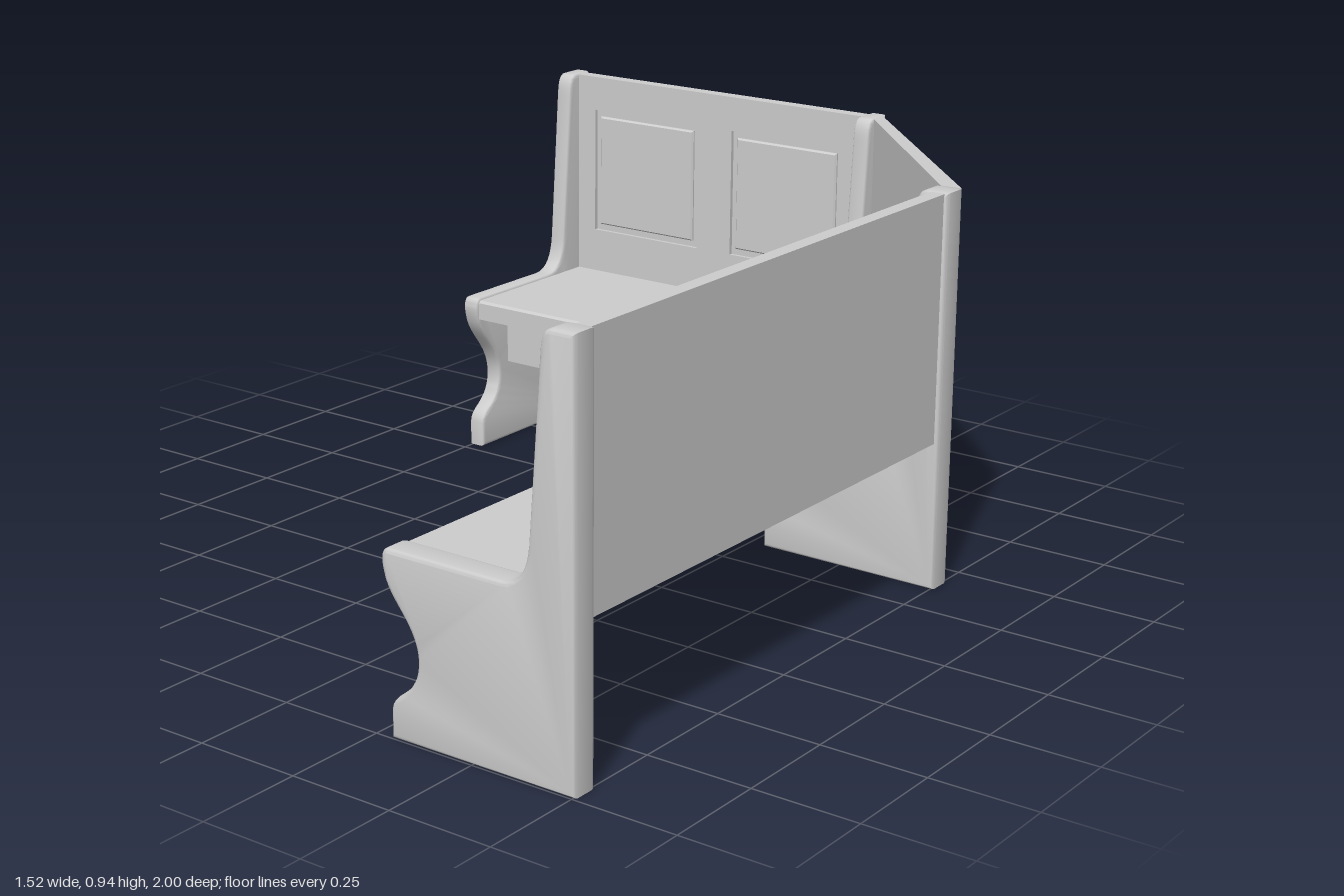
import * as THREE from 'three';
import { toCreasedNormals } from 'three/addons/utils/BufferGeometryUtils.js';

const grey = new THREE.MeshStandardMaterial({ color: 0xcccccc });
grey.name = 'light grey';

const HALF = 0.4875, END = 0.046, TOP = 0.938, SEAT = 0.405, UNDER = 0.355;

function add(group, name, geometry) {
  const mesh = new THREE.Mesh(geometry, grey);
  mesh.name = name;
  group.add(mesh);
  return mesh;
}

// box given by its limits
function box(x0, x1, y0, y1, z0, z1) {
  return new THREE.BoxGeometry(x1 - x0, y1 - y0, z1 - z0)
    .translate((x0 + x1) / 2, (y0 + y1) / 2, (z0 + z1) / 2);
}

function rect(path, cx, cy, w, h) {
  path.moveTo(cx - w, cy - h);
  path.lineTo(cx + w, cy - h);
  path.lineTo(cx + w, cy + h);
  path.lineTo(cx - w, cy + h);
  path.closePath();
  return path;
}

// scrolled bench end: profile in depth and height, with softened edges
function endGeometry() {
  const s = new THREE.Shape();
  s.moveTo(0, 0);
  s.lineTo(0.467, 0);
  s.lineTo(0.467, 0.065);
  s.bezierCurveTo(0.462, 0.1, 0.425, 0.1, 0.405, 0.14);
  s.bezierCurveTo(0.392, 0.165, 0.392, 0.2, 0.405, 0.23);
  s.bezierCurveTo(0.425, 0.28, 0.475, 0.31, 0.484, 0.365);
  s.bezierCurveTo(0.49, 0.39, 0.486, 0.41, 0.47, 0.411);
  s.lineTo(0.18, 0.411);
  s.bezierCurveTo(0.135, 0.413, 0.118, 0.45, 0.113, 0.5);
  s.lineTo(0.085, 0.88);
  s.bezierCurveTo(0.083, 0.915, 0.078, 0.94, 0.055, 0.94);
  s.lineTo(0, 0.94);
  s.closePath();
  const g = new THREE.ExtrudeGeometry(s, {
    depth: END - 0.014, bevelThickness: 0.007, bevelSize: 0.01, bevelOffset: -0.01,
    bevelSegments: 3, curveSegments: 8,
  });
  g.translate(0, 0, -(END - 0.014) / 2).rotateY(-Math.PI / 2);
  return toCreasedNormals(g, 0.6);
}

// bench with its back on z = 0, facing +z
function makeBench(name) {
  const bench = new THREE.Group();
  bench.name = name;
  const inner = HALF - END / 2;

  const end = endGeometry();
  for (const side of [-1, 1]) {
    add(bench, side < 0 ? 'rightEnd' : 'leftEnd', end).position.x = side * (HALF - END / 2);
  }

  // seat board with a chamfered front edge
  const seat = new THREE.Shape();
  seat.moveTo(0.012, UNDER);
  seat.lineTo(0.478, UNDER);
  seat.lineTo(0.478, SEAT - 0.006);
  seat.lineTo(0.472, SEAT);
  seat.lineTo(0.012, SEAT);
  seat.closePath();
  add(bench, 'seat', new THREE.ExtrudeGeometry(seat, { depth: 2 * inner, bevelEnabled: false })
    .translate(0, 0, -inner).rotateY(-Math.PI / 2));
  add(bench, 'apron', box(-inner, inner, 0.212, UNDER, 0.33, 0.36));

  // back board with two framed openings in its front layer
  add(bench, 'backBoard', box(-inner, inner, UNDER, TOP, 0.01, 0.035));
  const front = rect(new THREE.Shape(), 0, (SEAT + TOP) / 2, inner, (TOP - SEAT) / 2);
  const field = new THREE.ExtrudeGeometry(
    rect(new THREE.Shape(), 0, 0, 0.151, 0.148),
    { depth: 0.004, bevelThickness: 0.005, bevelSize: 0.004, bevelOffset: -0.004, bevelSegments: 1 });
  for (const x of [-0.22, 0.22]) {
    front.holes.push(rect(new THREE.Path(), x, 0.684, 0.167, 0.165));
    add(bench, 'raisedPanel', field).position.set(x, 0.684, 0.036);
  }
  add(bench, 'backFrame', new THREE.ExtrudeGeometry(front, { depth: 0.01, bevelEnabled: false })
    .translate(0, 0, 0.035));
  return bench;
}

// upright slab from a plan outline of [x, z] corners
function planSlab(corners, y0, y1) {
  const s = new THREE.Shape(corners.map(([x, z]) => new THREE.Vector2(x, -z)));
  return new THREE.ExtrudeGeometry(s, { depth: y1 - y0, bevelEnabled: false })
    .rotateX(-Math.PI / 2).translate(0, y0, 0);
}

export function createModel() {
  const model = new THREE.Group();
  model.name = 'cornerBench';

  const rear = makeBench('rearBench');
  rear.position.set(-0.2725, 0, -1);
  model.add(rear);

  // longer bench along the left side, facing inward
  const side = makeBench('sideBench');
  side.rotation.y = -Math.PI / 2;
  side.scale.x = 1.43 / (2 * HALF);
  side.position.set(0.757, 0, 0.285);
  model.add(side);

  // diagonal corner joining the two benches
  const corner = new THREE.Group();
  corner.name = 'corner';
  add(corner, 'cornerBack',
    planSlab([[0.207, -0.993], [0.75, -0.435], [0.7, -0.43], [0.207, -0.95]], UNDER, TOP));
  add(corner, 'cornerSeat',
    planSlab([[0.212, -0.985], [0.745, -0.432], [0.275, -0.432], [0.212, -0.518]], UNDER + 0.001, SEAT));
  model.add(corner);
  return model;
}
